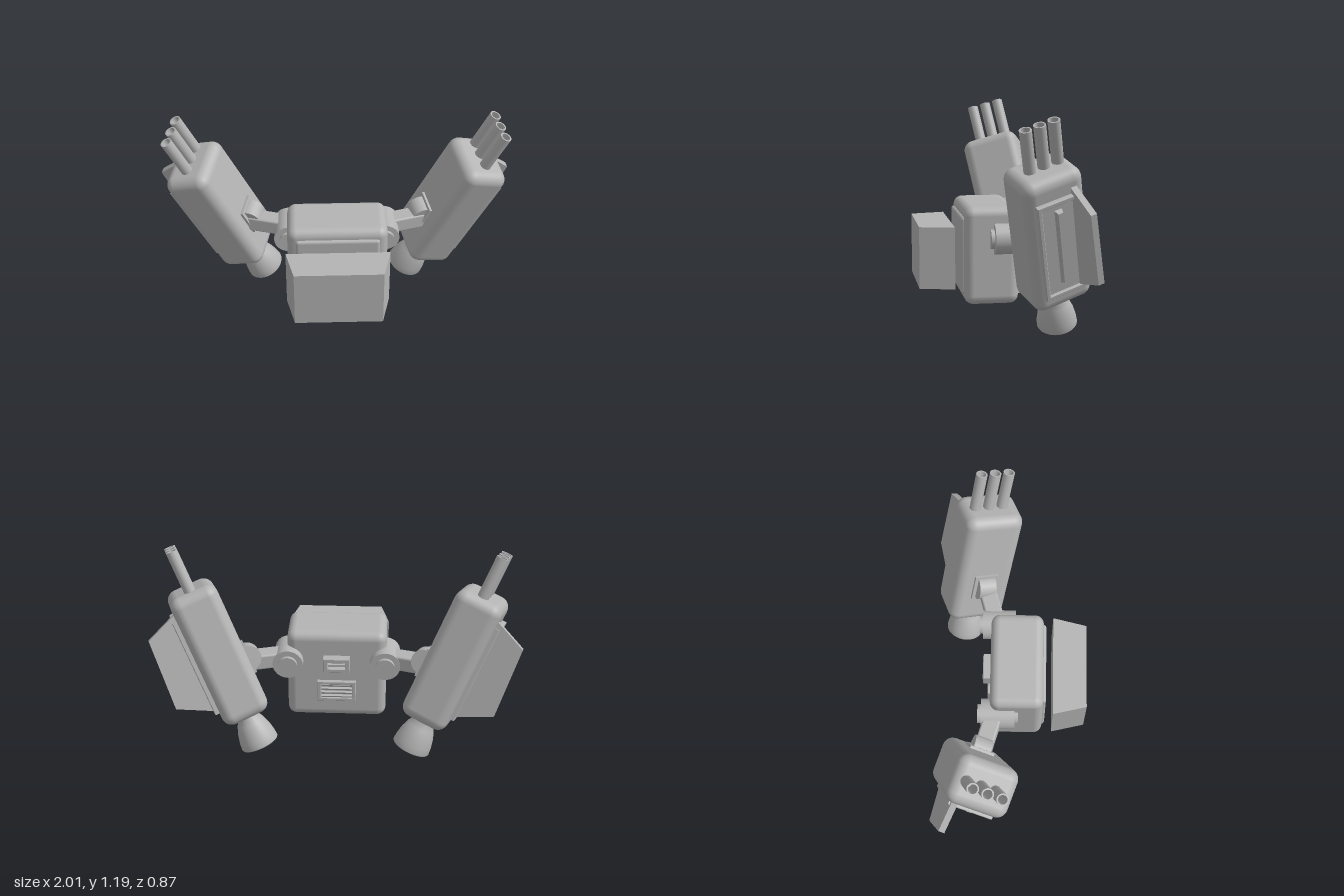
import * as THREE from 'three';
import { RoundedBoxGeometry } from 'three/addons/geometries/RoundedBoxGeometry.js';

const grey = new THREE.MeshStandardMaterial({ color: 0xb4b4b4 });
grey.name = 'grey metal';

function add(parent, name, geometry, x = 0, y = 0, z = 0) {
  const mesh = new THREE.Mesh(geometry, grey);
  mesh.name = name;
  mesh.position.set(x, y, z);
  parent.add(mesh);
  return mesh;
}

const box = (w, h, d) => new THREE.BoxGeometry(w, h, d);
const lathe = (pts, n = 32) => new THREE.LatheGeometry(pts.map(p => new THREE.Vector2(...p)), n);

// Rectangular rim with a hole, facing +z
function frame(w, h, rim, depth, bevel = 0.004) {
  const rect = (C, a, b) => {
    const s = new C();
    s.moveTo(-a, -b); s.lineTo(a, -b); s.lineTo(a, b); s.lineTo(-a, b); s.closePath();
    return s;
  };
  const shape = rect(THREE.Shape, w / 2, h / 2);
  shape.holes.push(rect(THREE.Path, w / 2 - rim, h / 2 - rim));
  return new THREE.ExtrudeGeometry(shape, {
    depth: depth - bevel, bevelEnabled: true, bevelSize: bevel, bevelThickness: bevel, bevelSegments: 1,
  });
}

// Box whose +x side is pinched in height and depth
function taperedBox(w, h, d, kh, kd) {
  const g = box(w, h, d).toNonIndexed();
  const p = g.attributes.position;
  for (let i = 0; i < p.count; i++) {
    if (p.getX(i) > 0) p.setXYZ(i, p.getX(i), p.getY(i) * kh, p.getZ(i) * kd);
  }
  g.computeVertexNormals();
  return g;
}

function makeBody() {
  const body = new THREE.Group();
  body.name = 'body';
  add(body, 'bodyShell', new RoundedBoxGeometry(0.56, 0.54, 0.3, 3, 0.05), 0, 0.39, 0.04);
  add(body, 'frontPanel', new RoundedBoxGeometry(0.47, 0.43, 0.06, 2, 0.018), 0, 0.39, 0.175);

  // Separate tapered block ahead of the body
  const s = new THREE.Shape();
  s.moveTo(-0.29, -0.245); s.lineTo(-0.245, -0.435); s.lineTo(0.245, -0.435); s.lineTo(0.29, -0.245);
  s.closePath();
  const g = new THREE.ExtrudeGeometry(s, { depth: 0.34, bevelEnabled: false });
  g.rotateX(-Math.PI / 2);
  add(body, 'frontBlock', g, 0, 0.217, 0);

  // Back latch and louvred vent
  const back = new THREE.Group();
  back.name = 'backDetails';
  back.rotation.y = Math.PI;
  back.position.z = -0.11;
  body.add(back);
  add(back, 'latchFrame', frame(0.14, 0.08, 0.018, 0.045), 0, 0.48, 0);
  add(back, 'latchBar', box(0.1, 0.02, 0.02), 0, 0.465, 0.01);
  add(back, 'ventFrame', frame(0.21, 0.12, 0.014, 0.02), 0, 0.3, 0);
  for (let i = 0; i < 4; i++) {
    add(back, 'ventSlat', box(0.18, 0.013, 0.014), 0, 0.264 + i * 0.024, 0.007).rotation.x = 0.4;
  }
  return body;
}

function makePod() {
  // Pod space: x outward, y along the barrels, z forward
  const pod = new THREE.Group();
  pod.name = 'pod';
  const up = new THREE.Vector3(0.389, 0.905, 0.172).normalize();
  const out = up.clone().cross(new THREE.Vector3(0.25, -0.285, 0.925)).normalize();
  const fwd = out.clone().cross(up);
  pod.quaternion.setFromRotationMatrix(new THREE.Matrix4().makeBasis(out, up, fwd));
  pod.position.set(0.657, 0.58, -0.188);

  add(pod, 'podShell', new RoundedBoxGeometry(0.27, 0.78, 0.34, 4, 0.06));

  // Hollow barrels
  const barrel = lathe([[0.032, 0.36], [0.032, 0.36], [0.032, 0.626], [0.032, 0.626], [0.024, 0.626],
    [0.024, 0.626], [0.024, 0.42], [0.024, 0.42], [0, 0.42]], 20);
  for (const z of [-0.095, -0.015, 0.065]) add(pod, 'barrel', barrel, 0, 0, z);

  // Thruster bell, open below, with a collar
  add(pod, 'thrusterBell', lathe([[0, -0.43], [0.04, -0.43], [0.07, -0.48], [0.09, -0.53], [0.1, -0.588],
    [0.105, -0.591], [0.109, -0.585], [0.106, -0.55], [0.096, -0.5], [0.078, -0.45], [0.06, -0.42],
    [0.056, -0.37]]));
  add(pod, 'thrusterCollar', new THREE.CylinderGeometry(0.066, 0.066, 0.025, 32), 0, -0.4, 0);

  // Outer panel: rim, tray and raised rib
  const rim = frame(0.24, 0.56, 0.016, 0.03);
  rim.rotateY(Math.PI / 2);
  add(pod, 'panelRim', rim, 0.13, -0.01, 0);
  add(pod, 'panelTray', box(0.02, 0.54, 0.22), 0.134, -0.01, 0);
  add(pod, 'panelRib', taperedBox(0.03, 0.44, 0.045, 0.95, 0.6), 0.155, 0, 0.005);

  // Swept side fin
  const s = new THREE.Shape();
  s.moveTo(0.13, -0.285); s.lineTo(0.338, -0.17); s.lineTo(0.313, 0.235); s.lineTo(0.13, 0.31);
  s.closePath();
  const fin = new THREE.ExtrudeGeometry(s, { depth: 0.034, bevelEnabled: false });
  add(pod, 'fin', fin, 0, 0, -0.115);

  // Inner knuckle where the arm meets the pod
  const knuckle = new THREE.CylinderGeometry(0.07, 0.07, 0.1, 24);
  knuckle.rotateX(Math.PI / 2);
  add(pod, 'knuckle', knuckle, -0.14, -0.1, 0);
  add(pod, 'knucklePlate', box(0.03, 0.17, 0.14), -0.135, -0.1, 0);
  return pod;
}

function makeArm() {
  const arm = new THREE.Group();
  arm.name = 'arm';
  // Hinge drum with smaller end caps
  const drum = (r, len) => new THREE.CylinderGeometry(r, r, len, 32).rotateX(Math.PI / 2);
  add(arm, 'hingeDrum', drum(0.085, 0.19), 0.272, 0.487, -0.065);
  add(arm, 'hingeCap', drum(0.054, 0.23), 0.272, 0.487, -0.065);
  // Strut swept back to the pod
  const strut = add(arm, 'strut', new RoundedBoxGeometry(0.25, 0.09, 0.1, 2, 0.012), 0.41, 0.503, -0.122);
  strut.rotation.y = 0.28;
  return arm;
}

export function createModel() {
  const model = new THREE.Group();
  model.name = 'jetpack';
  model.add(makeBody());
  for (const side of [1, -1]) {
    const wing = new THREE.Group();
    wing.name = side > 0 ? 'leftWing' : 'rightWing';
    wing.scale.x = side;
    wing.add(makeArm(), makePod());
    model.add(wing);
  }
  return model;
}
